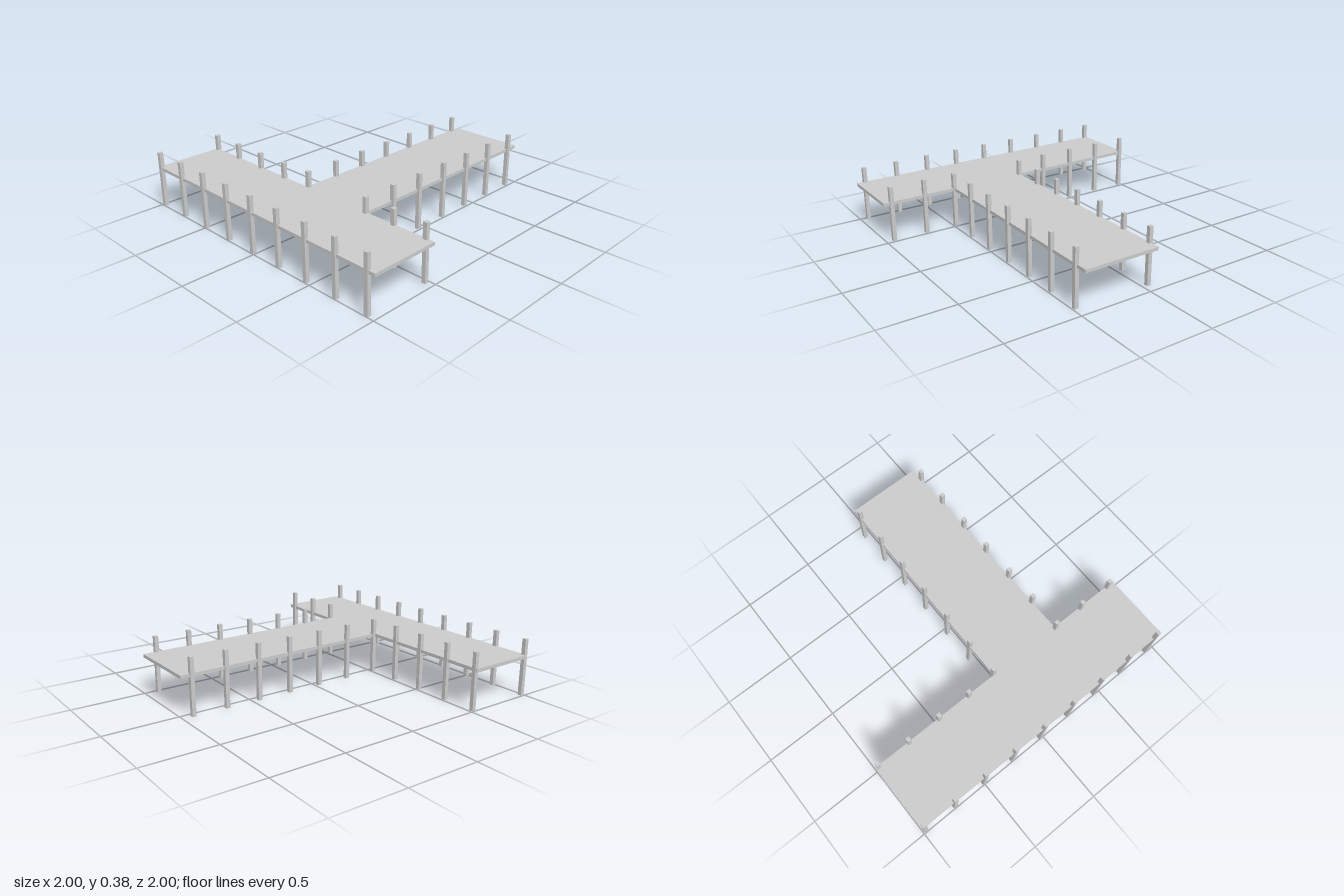
import * as THREE from 'three';

export function createModel() {
  const model = new THREE.Group();
  const material = new THREE.MeshStandardMaterial({ color: 0xcccccc, flatShading: true });

  // T-shaped deck: outline in (x, z), extruded and laid flat
  const outline = [
    [-0.99, -1], [-0.52, -1], [-0.52, -0.045], [1, -0.045],
    [1, 0.478], [-0.52, 0.478], [-0.52, 1], [-0.99, 1],
  ];
  const shape = new THREE.Shape(outline.map(([x, z]) => new THREE.Vector2(x, -z)));
  const deckGeometry = new THREE.ExtrudeGeometry(shape, { depth: 0.022, bevelEnabled: false });
  deckGeometry.rotateX(-Math.PI / 2);
  const deck = new THREE.Mesh(deckGeometry, material);
  deck.name = 'deck';
  deck.position.y = 0.256;
  model.add(deck);

  // Square piles standing on the ground and rising above the deck
  const height = 0.385;
  const pileGeometry = new THREE.BoxGeometry(0.027, height, 0.027);
  const step = 0.2403;
  function addRow(name, count, x, z, dx, dz) {
    const row = new THREE.Group();
    row.name = name;
    for (let i = 0; i < count; i++) {
      const pile = new THREE.Mesh(pileGeometry, material);
      pile.name = 'pile';
      pile.position.set(x + i * dx, height / 2, z + i * dz);
      row.add(pile);
    }
    model.add(row);
  }
  addRow('outerPiles', 9, -0.986, -0.98, 0, step);
  addRow('innerBackPiles', 4, -0.526, -0.98, 0, step);
  addRow('innerFrontPiles', 2, -0.526, 0.702, 0, step);
  addRow('armBackPiles', 7, -0.51, -0.041, 0.239, 0);
  addRow('armFrontPiles', 7, -0.526, 0.478, 0.239, 0);

  return model;
}
